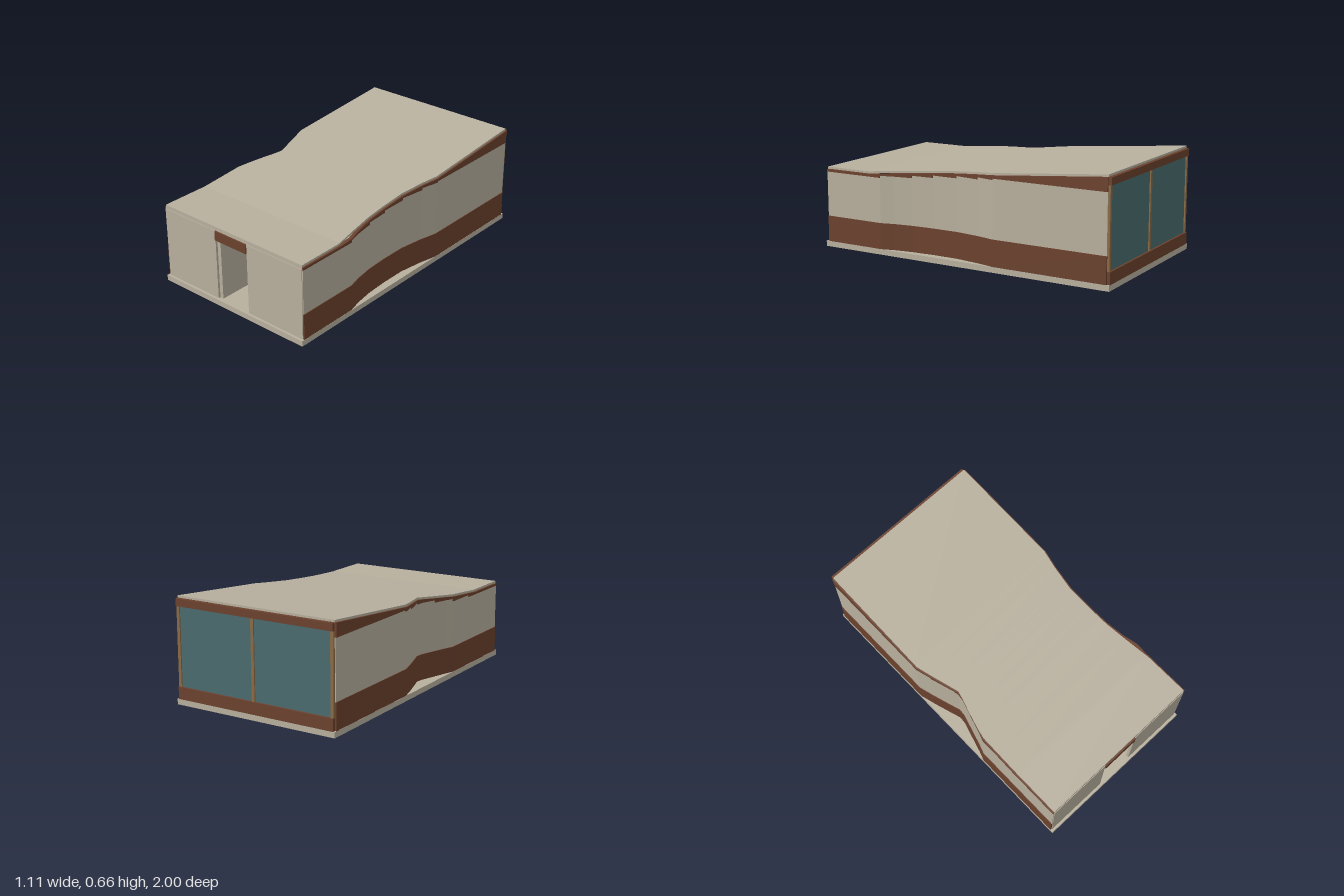
import * as THREE from 'three';

const mat = (name, color) => {
  const m = new THREE.MeshStandardMaterial({ color });
  m.name = name;
  return m;
};

// Roof height along the length: flat at the front, then rising to the back
const roofTop = z => (z > 0.66 ? 0.515 : 0.515 + ((0.66 - z) / 1.64) * 0.145);
const ROOF = 0.013;

// Half-width profiles as [z, x], front to back
const leftWall = [[0.98, 0.555], [0.57, 0.555], [0.48, 0.532], [0.36, 0.514], [0.21, 0.506],
  [0.04, 0.506], [-0.12, 0.529], [-0.24, 0.555], [-0.98, 0.555]];
const rightWall = [[0.98, 0.555], [0.37, 0.555], [0.31, 0.534], [0.21, 0.505], [0.11, 0.475],
  [0.06, 0.47], [0, 0.49], [-0.12, 0.527], [-0.22, 0.555], [-0.98, 0.555]];
const leftRoof = [[0.98, 0.545], [0.68, 0.543], [0.5, 0.518], [0.36, 0.501], [0.21, 0.495],
  [0.04, 0.495], [-0.12, 0.519], [-0.24, 0.545], [-0.98, 0.545]];
const rightRoof = [[0.98, 0.545], [0.37, 0.545], [0.31, 0.532], [0.21, 0.505], [0.11, 0.474],
  [0.06, 0.462], [0, 0.48], [-0.12, 0.517], [-0.22, 0.545], [-0.98, 0.545]];

// Stepped top of the pale wall panels: [start z, height]
const steps = [[0.57, 0.485], [0.36, 0.498], [0.21, 0.513], [0.04, 0.528],
  [-0.12, 0.542], [-0.24, 0.555], [-2, 0.563]];
const stepTop = z => steps.find(s => z > s[0])[1];

function sample(profile, z) {
  for (let i = 0; i < profile.length - 1; i++) {
    const [z0, x0] = profile[i], [z1, x1] = profile[i + 1];
    if (z <= z0 && z >= z1) return x0 + ((x1 - x0) * (z0 - z)) / (z0 - z1);
  }
  return profile[profile.length - 1][1];
}

const stations = (...lists) =>
  [...new Set(lists.flat())].filter(z => Math.abs(z) <= 0.98).sort((a, b) => b - a);

// Slab between two x edges and two heights, one six-sided block per stretch of z
function loft(zs, xLow, xHigh, yLow, yHigh) {
  const pos = [];
  const quads = [[0, 1, 3, 2], [4, 6, 7, 5], [0, 4, 5, 1], [2, 3, 7, 6], [0, 2, 6, 4], [1, 5, 7, 3]];
  for (let i = 0; i < zs.length - 1; i++) {
    const mid = (zs[i] + zs[i + 1]) / 2;
    const c = [];
    for (const z of [zs[i], zs[i + 1]])
      for (const y of [yLow(z, mid), yHigh(z, mid)])
        for (const x of [xLow(z), xHigh(z)]) c.push([x, y, z]);
    // corner index = back * 4 + upper * 2 + high x
    for (const [a, b, d, e] of quads)
      for (const k of [a, b, d, a, d, e]) pos.push(...c[k]);
  }
  const g = new THREE.BufferGeometry();
  g.setAttribute('position', new THREE.Float32BufferAttribute(pos, 3));
  g.computeVertexNormals();
  return g;
}

export function createModel() {
  const model = new THREE.Group();
  model.name = 'pavilion';
  const stone = mat('paleStone', 0xb8b09e);
  const wood = mat('darkWood', 0x6b412d);
  const glass = mat('tealGlass', 0x4a6b6d);
  const frame = mat('tanFrame', 0x8a6a45);

  const add = (name, geo, m) => {
    const mesh = new THREE.Mesh(geo, m);
    mesh.name = name;
    model.add(mesh);
    return mesh;
  };
  // Box given by its limits on each axis
  const box = (name, m, x0, x1, y0, y1, z0, z1) =>
    add(name, new THREE.BoxGeometry(x1 - x0, y1 - y0, z1 - z0), m)
      .position.set((x0 + x1) / 2, (y0 + y1) / 2, (z0 + z1) / 2);

  box('foundation', stone, -0.556, 0.556, 0, 0.035, -1, 1);

  // Roof slab with pinched sides
  const roofZ = stations(leftRoof.map(p => p[0]), rightRoof.map(p => p[0]), [0.66]);
  add('roof', loft(roofZ, z => -sample(rightRoof, z), z => sample(leftRoof, z),
    z => roofTop(z) - ROOF, roofTop), stone);
  box('roofFrontEdge', stone, -0.545, 0.545, 0.49, 0.514, 0.965, 0.98);

  // Curved side walls: wooden base band, pale panel, stepped wooden fascia
  for (const [side, profile, s] of [['left', leftWall, 1], ['right', rightWall, -1]]) {
    const zs = stations(profile.map(p => p[0]), steps.map(p => p[0]), [0.66]);
    const band = (name, m, inset, y0, y1) => {
      const outer = z => s * (sample(profile, z) - inset);
      const inner = z => s * (sample(profile, z) - 0.022);
      add(side + name, loft(zs, s > 0 ? inner : outer, s > 0 ? outer : inner, y0, y1), m);
    };
    band('WallBase', wood, 0, () => 0.035, () => 0.2);
    band('WallPanel', stone, 0.004, () => 0.2, (z, mid) => stepTop(mid));
    band('WallFascia', wood, 0, (z, mid) => stepTop(mid), z => roofTop(z) - ROOF - 0.001);
  }

  // Front wall with doorway
  for (const s of [-1, 1])
    box('frontWall', stone, s < 0 ? -0.546 : 0.125, s < 0 ? -0.125 : 0.546, 0.035, 0.49, 0.965, 0.984);
  box('doorLintel', wood, -0.125, 0.125, 0.43, 0.49, 0.965, 0.99);

  // Entrance hall and inner partition
  box('hallWall', stone, -0.125, -0.1, 0.035, 0.43, 0.4, 0.97);
  box('partition', stone, -0.09, 0.055, 0.035, 0.396, 0.3, 0.32);
  box('partitionCap', wood, -0.1, 0.055, 0.396, 0.41, 0.298, 0.322);
  box('floorInlay', glass, -0.09, 0.3, 0.035, 0.039, 0.33, 0.76);

  // Glazed back wall
  box('backSill', wood, -0.545, 0.545, 0.035, 0.11, -1, -0.975);
  box('backBeam', wood, -0.545, 0.545, 0.6, 0.645, -1, -0.975);
  box('backWindow', glass, -0.535, 0.535, 0.11, 0.6, -0.986, -0.978);
  for (const x of [-0.535, 0, 0.535])
    box('windowPost', frame, x - 0.01, x + 0.01, 0.11, 0.6, -0.994, -0.972);

  return model;
}
